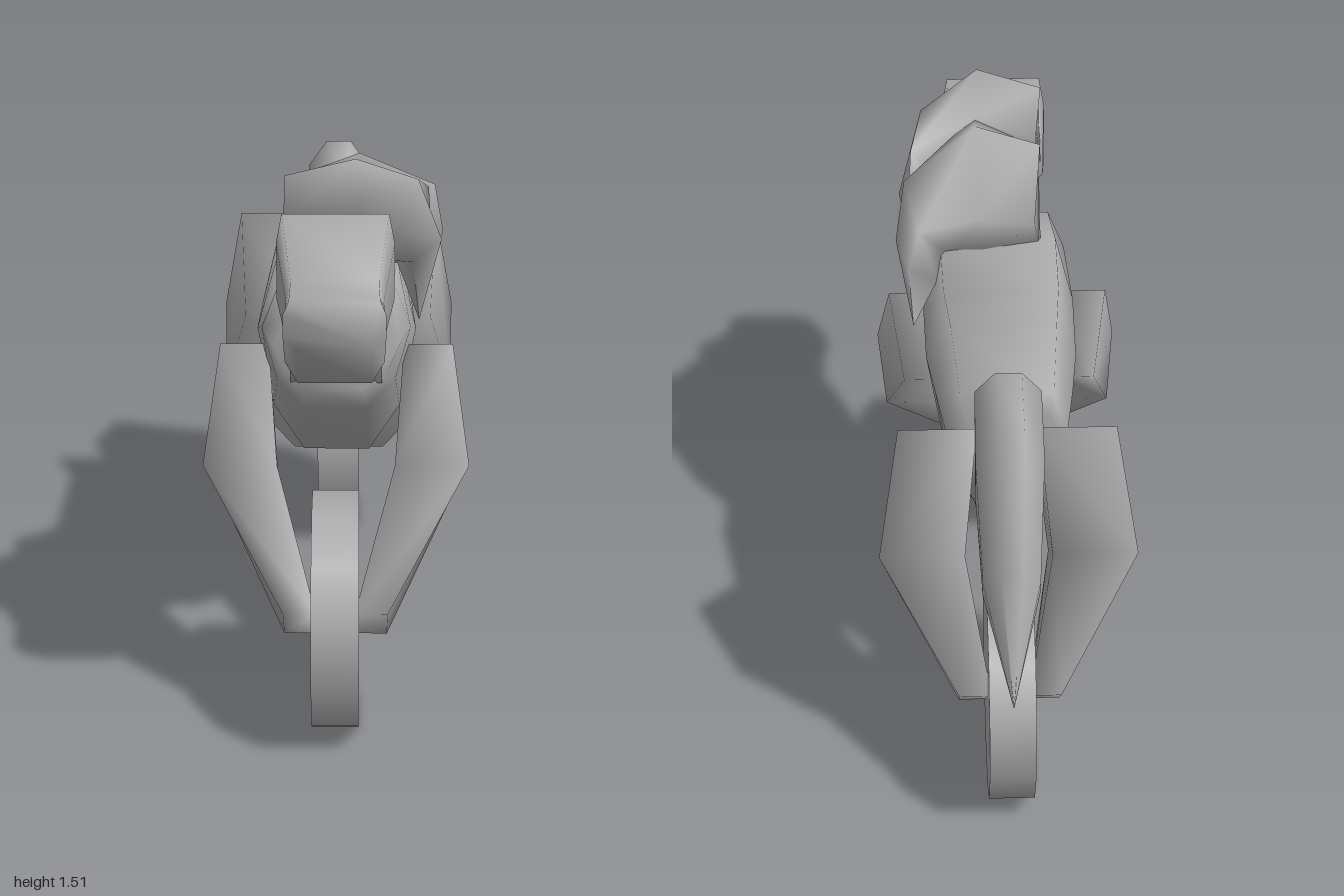
import * as THREE from 'three';

const grey = new THREE.MeshStandardMaterial({ color: 0xaaaaaa });
grey.name = 'plain grey';

// Skin a list of rings (equal point counts) into a closed smooth solid
function loft(name, rings) {
  const n = rings[0].length, last = rings.length - 1;
  const pos = rings.flat(2), idx = [];
  for (let r = 0; r < last; r++) {
    for (let i = 0; i < n; i++) {
      const a = r * n + i, b = r * n + (i + 1) % n;
      idx.push(a, b, b + n, a, b + n, a + n);
    }
  }
  for (let i = 1; i < n - 1; i++) {
    const e = last * n;
    idx.push(0, i + 1, i, e, e + i, e + i + 1);
  }
  // Turn all faces outward, judged by the enclosed volume
  const v = k => new THREE.Vector3().fromArray(pos, k * 3);
  let volume = 0;
  for (let i = 0; i < idx.length; i += 3) {
    volume += v(idx[i]).dot(v(idx[i + 1]).cross(v(idx[i + 2])));
  }
  if (volume < 0) idx.reverse();
  const geo = new THREE.BufferGeometry();
  geo.setAttribute('position', new THREE.Float32BufferAttribute(pos, 3));
  geo.setIndex(idx);
  geo.computeVertexNormals();
  const mesh = new THREE.Mesh(geo, grey);
  mesh.name = name;
  return mesh;
}

// Mirrored ring between a top and a bottom [z, y]; outline lists [width share, height share]
function ring(outline, [tz, ty], [bz, by], w) {
  const at = (x, t) => [x * w, by + (ty - by) * t, bz + (tz - bz) * t];
  return [
    ...outline.map(([s, t]) => at(s, t)),
    ...[...outline].reverse().map(([s, t]) => at(-s, t)),
  ];
}
const symmetric = (name, outline, sections) =>
  loft(name, sections.map(s => ring(outline, ...s)));

const barrel = [[0.42, 0], [0.8, 0.24], [1, 0.65], [0.76, 1]];
const block = [[0.75, 0], [1, 0.25], [1, 0.75], [0.9, 1]];
const square = [[1, 0], [1, 1]];
const oval = [[0.4, 0], [1, 0.35], [1, 0.7], [0.4, 1]];

// Four-sided bent leg; each section is [rear edge, front edge, inner x]
function leg(name, side, sections) {
  return loft(name, sections.map(([a, b, inner]) => [
    [a[0] * side, a[1], a[2]], [b[0] * side, b[1], b[2]],
    [inner * side, b[1], b[2]], [inner * side, a[1], a[2]],
  ]));
}

function wheel(name, z) {
  const geo = new THREE.CylinderGeometry(0.32, 0.32, 0.122, 12);
  geo.rotateY(Math.PI / 12).rotateZ(Math.PI / 2).scale(1, 0.987, 1);
  const mesh = new THREE.Mesh(geo, grey);
  mesh.position.set(0, 0.305, z);
  mesh.name = name;
  return mesh;
}

export function createModel() {
  const model = new THREE.Group();
  model.name = 'wheeledHorse';

  // Trunk, neck and head
  model.add(symmetric('body', barrel, [
    [[0.475, 1.04], [0.48, 0.85], 0.165],
    [[0.43, 1.13], [0.455, 0.79], 0.195],
    [[0.27, 1.135], [0.23, 0.58], 0.213],
    [[0, 1.135], [-0.02, 0.53], 0.207],
    [[-0.23, 1.155], [-0.3, 0.63], 0.185],
    [[-0.47, 1.1], [-0.45, 0.76], 0.16],
    [[-0.495, 1.05], [-0.49, 0.86], 0.14],
  ]));
  model.add(symmetric('neck', square, [
    [[0.22, 1.08], [0.47, 0.865], 0.12],
    [[0.48, 1.36], [0.67, 1.08], 0.12],
  ]));
  model.add(symmetric('head', block, [
    [[0.99, 1.27], [1.0, 1.16], 0.125],
    [[0.96, 1.275], [0.92, 1.04], 0.122],
    [[0.88, 1.29], [0.84, 1.065], 0.12],
    [[0.72, 1.41], [0.665, 1.09], 0.148],
    [[0.57, 1.33], [0.58, 1.125], 0.14],
    [[0.55, 1.27], [0.545, 1.18], 0.12],
  ]));

  // Mane locks swept over the crest to the left; rings run front, top, rear, under
  const tip = p => [p, p, p, p];
  model.add(loft('frontManeLock', [
    [[-0.13, 1.37, 0.66], [-0.13, 1.46, 0.56], [-0.11, 1.37, 0.41], [-0.13, 1.25, 0.51]],
    [[0.06, 1.43, 0.71], [0.05, 1.51, 0.58], [0.06, 1.45, 0.4], [0.05, 1.28, 0.52]],
    [[0.17, 1.31, 0.58], [0.21, 1.43, 0.49], [0.24, 1.37, 0.36], [0.12, 1.2, 0.45]],
    [[0.2, 1.185, 0.425], [0.275, 1.23, 0.37], [0.25, 1.23, 0.3], [0.16, 1.16, 0.36]],
    tip([0.22, 0.985, 0.31]),
  ]));
  model.add(loft('rearManeLock', [
    [[-0.12, 1.33, 0.46], [-0.12, 1.39, 0.35], [-0.1, 1.22, 0.2], [-0.12, 1.1, 0.28]],
    [[0.06, 1.43, 0.45], [0.06, 1.455, 0.34], [0.06, 1.29, 0.105], [0.04, 1.1, 0.24]],
    [[0.21, 1.22, 0.37], [0.26, 1.34, 0.24], [0.22, 1.26, 0.095], [0.13, 1.1, 0.24]],
    [[0.23, 1.12, 0.23], [0.285, 1.19, 0.18], [0.25, 1.15, 0.075], [0.17, 1.08, 0.15]],
    tip([0.24, 1, 0.035]),
  ]));

  // Tail, arched up then falling to a point
  model.add(symmetric('tail', oval, [
    [[-0.43, 1.11], [-0.48, 1.04], 0.075],
    [[-0.565, 1.225], [-0.5, 1.0], 0.086],
    [[-0.735, 1.16], [-0.61, 0.77], 0.088],
    [[-0.865, 0.82], [-0.77, 0.64], 0.074],
    [[-1.0, 0.49], [-1.0, 0.49], 0.001],
  ]));

  // Legs gripping the wheels
  for (const [label, side] of [['left', 1], ['right', -1]]) {
    model.add(leg(label + 'FrontLeg', side, [
      [[0.27, 0.745, 0.155], [0.31, 0.925, 0.335], 0.18],
      [[0.325, 0.53, 0.37], [0.35, 0.66, 0.54], 0.155],
      [[0.135, 0.235, 0.67], [0.135, 0.355, 0.805], 0.05],
    ]));
    model.add(leg(label + 'RearLeg', side, [
      [[0.285, 1.02, -0.51], [0.265, 0.8, -0.23], 0.08],
      [[0.34, 0.7, -0.63], [0.33, 0.545, -0.4], 0.115],
      [[0.135, 0.34, -0.77], [0.135, 0.225, -0.64], 0.05],
    ]));
  }

  model.add(wheel('frontWheel', 0.669), wheel('rearWheel', -0.655));
  return model;
}
